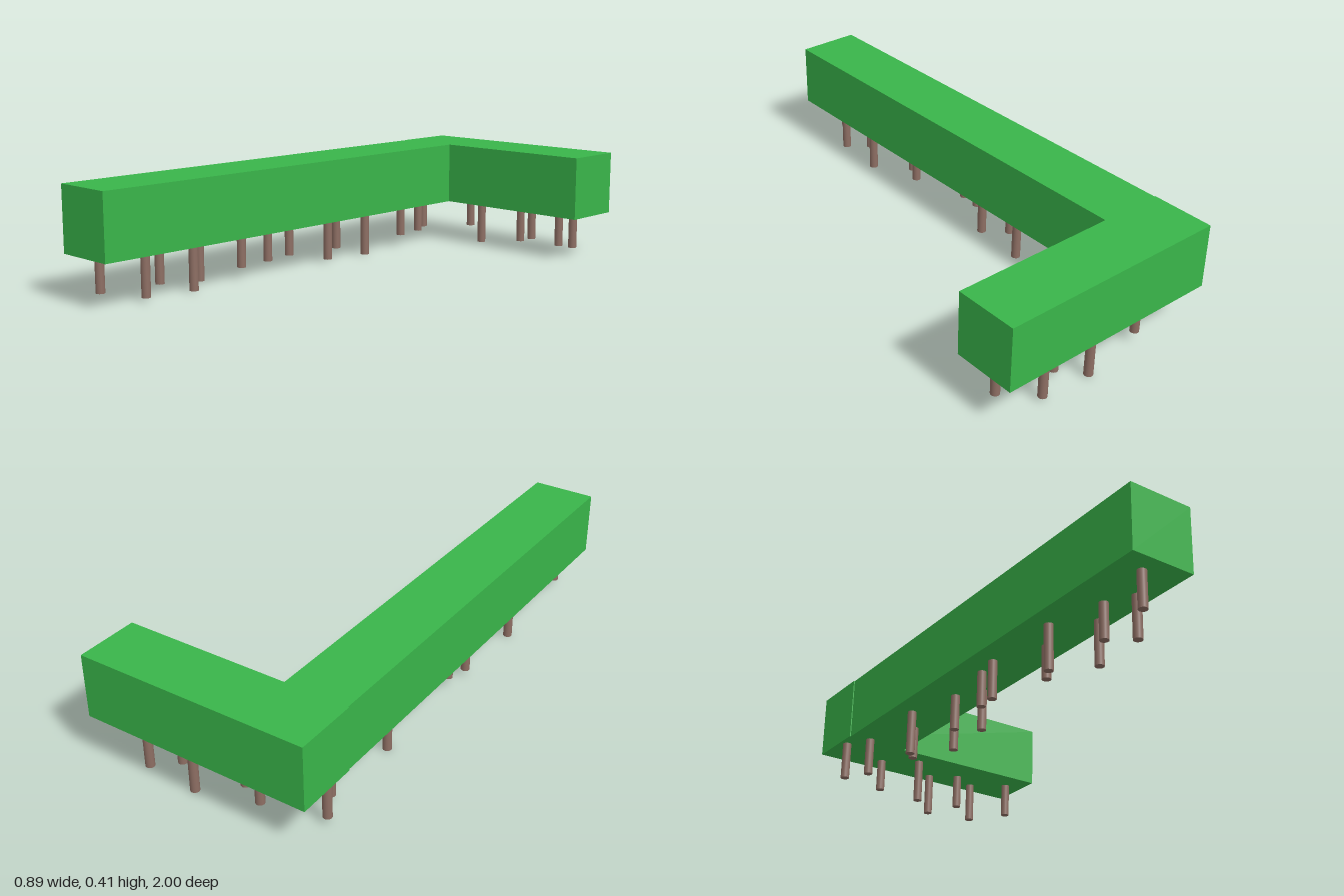
import * as THREE from 'three';

const GREEN = new THREE.MeshStandardMaterial({ color: 0x39b54a });
const BROWN = new THREE.MeshStandardMaterial({ color: 0x8d6e63 });

const BASE = 0.17;    // underside of the hedge
const TOP = 0.414;
const WIDTH = 0.243;

// Trunks of one hedge section: distance from its end, offset across, height of the foot
const TRUNKS = [
  [0.075, -0.023, 0.035],
  [0.203, 0.064, 0.012],
  [0.303, 0.010, 0.035],
  [0.406, 0.072, 0.003],
  [0.526, -0.044, 0],
  [0.656, 0.042, 0.044],
  [0.861, -0.041, 0.024],
];

function hedge(name, x0, x1, z0, z1) {
  const mesh = new THREE.Mesh(new THREE.BoxGeometry(x1 - x0, TOP - BASE, z1 - z0), GREEN);
  mesh.name = name;
  mesh.position.set((x0 + x1) / 2, (BASE + TOP) / 2, (z0 + z1) / 2);
  return mesh;
}

// A row of trunks running from the origin towards -z
function trunkRow(name) {
  const row = new THREE.Group();
  row.name = name;
  for (const [along, across, foot] of TRUNKS) {
    const top = BASE + 0.01;
    const trunk = new THREE.Mesh(new THREE.CylinderGeometry(0.0168, 0.0168, top - foot, 16), BROWN);
    trunk.name = 'trunk';
    trunk.position.set(across, (top + foot) / 2, -along);
    row.add(trunk);
  }
  return row;
}

export function createModel() {
  const model = new THREE.Group();
  model.name = 'cornerHedge';

  // Foliage: long arm to the front, short arm across the back
  model.add(hedge('longHedge', -0.443, -0.443 + WIDTH, -0.757, 1));
  model.add(hedge('backHedge', -0.447, 0.445, -1, -1 + WIDTH));

  // Trunks: two rows under the long arm, one turned row under the short arm
  for (let i = 0; i < 2; i++) {
    const row = trunkRow('longHedgeTrunks');
    row.position.set(-0.322, 0, 1 - i * 0.882);
    model.add(row);
  }
  const backRow = trunkRow('backHedgeTrunks');
  backRow.position.set(0.445, 0, -0.879);
  backRow.rotation.y = Math.PI / 2;
  model.add(backRow);

  return model;
}
